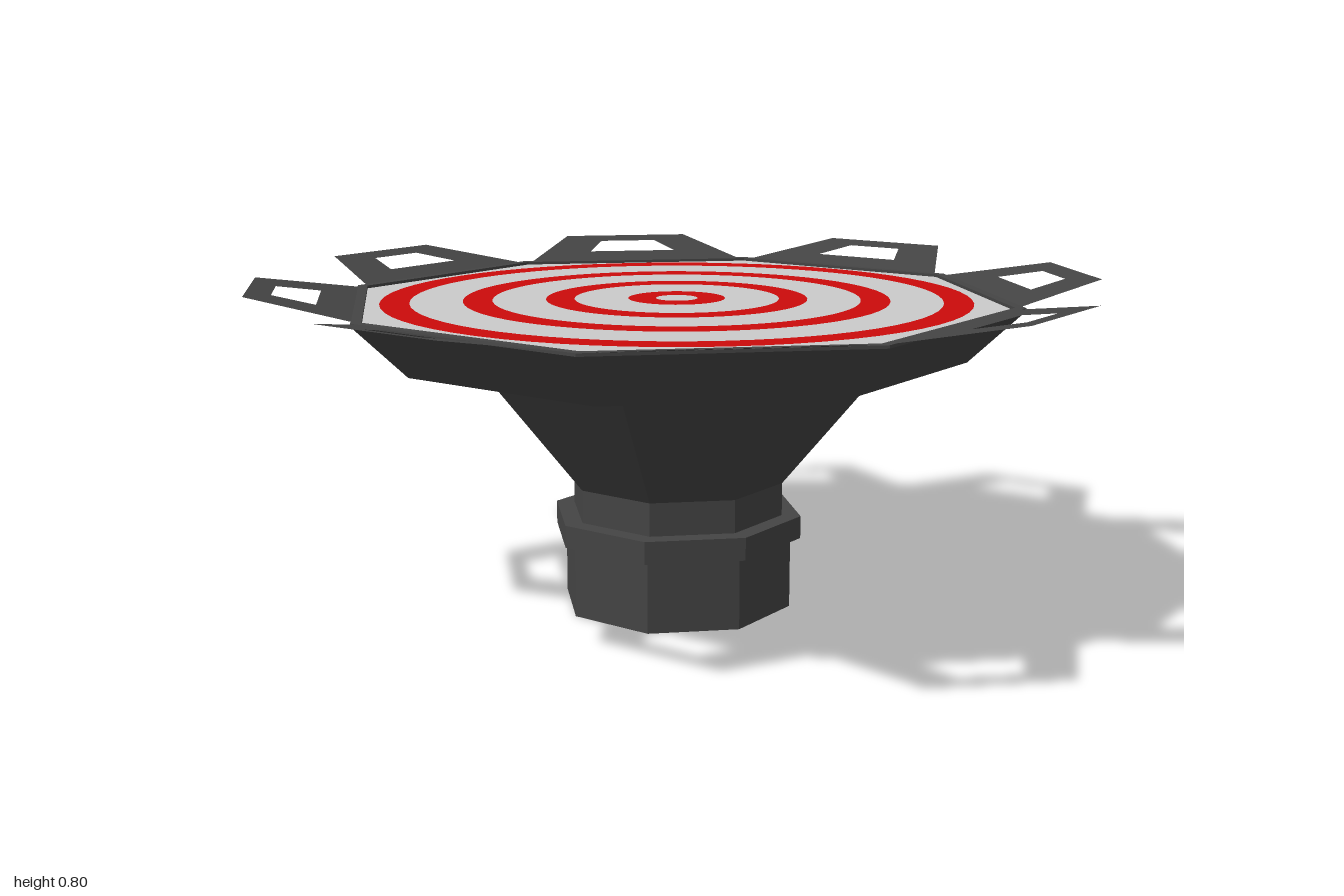
import * as THREE from 'three';

const darkMetal = new THREE.MeshStandardMaterial({ color: 0x444444, side: THREE.DoubleSide });
darkMetal.name = 'dark metal';
const paleFace = new THREE.MeshStandardMaterial({ color: 0xcbcbcb });
paleFace.name = 'pale face';
const redPaint = new THREE.MeshStandardMaterial({ color: 0xcc0a0a });
redPaint.name = 'red paint';

// Flat-to-corner ratio of an octagon
const CORNER = 1 / Math.cos(Math.PI / 8);

function addMesh(parent, name, geometry, material) {
  const mesh = new THREE.Mesh(geometry, material);
  mesh.name = name;
  parent.add(mesh);
  return mesh;
}

// Faceted eight-sided solid from [flat distance, height] pairs, bottom to top
function octagonSolid(profile) {
  const points = profile.map(([r, y]) => new THREE.Vector2(r * CORNER, y));
  const geometry = new THREE.LatheGeometry(points, 8, Math.PI / 8).toNonIndexed();
  geometry.computeVertexNormals();
  return geometry;
}

// Trapezoid flap with a trapezoid window, hinged at the origin and rising outward
function flapGeometry() {
  const run = 0.25, rise = 0.045;
  const slope = Math.atan2(rise, run);
  const k = 1 / Math.cos(slope);
  const trapezoid = (w0, d0, w1, d1) => [
    new THREE.Vector2(-w0, d0 * k), new THREE.Vector2(w0, d0 * k),
    new THREE.Vector2(w1, d1 * k), new THREE.Vector2(-w1, d1 * k),
  ];
  const shape = new THREE.Shape(trapezoid(0.295, 0, 0.172, run));
  shape.holes.push(new THREE.Path(trapezoid(0.12, 0.093, 0.077, 0.195)));
  return new THREE.ShapeGeometry(shape).rotateX(Math.PI / 2 - slope);
}

export function createModel() {
  const model = new THREE.Group();
  model.name = 'targetDish';

  // Pedestal
  addMesh(model, 'base', octagonSolid([[0, 0], [0.263, 0], [0.263, 0.175], [0, 0.175]]), darkMetal);
  addMesh(model, 'collar', octagonSolid([[0, 0.175], [0.286, 0.175], [0.286, 0.23], [0, 0.23]]), darkMetal);
  addMesh(model, 'neck', octagonSolid([[0.243, 0.23], [0.243, 0.31]]), darkMetal);

  // Flared body and dish with a thin lip
  addMesh(model, 'funnel', octagonSolid([[0.243, 0.31], [0.48, 0.625]]), darkMetal);
  addMesh(model, 'dish', octagonSolid([
    [0.48, 0.625], [0.642, 0.625], [0.762, 0.75], [0.762, 0.757], [0.738, 0.757], [0.738, 0.74],
  ]), darkMetal);

  // Target face and painted rings
  const face = new THREE.CircleGeometry(0.739 * CORNER, 8, Math.PI / 8).rotateX(-Math.PI / 2);
  addMesh(model, 'targetFace', face, paleFace).position.y = 0.75;
  [[0.05, 0.116], [0.245, 0.313], [0.44, 0.51], [0.635, 0.705]].forEach(([inner, outer], i) => {
    const ring = new THREE.RingGeometry(inner, outer, 64).rotateX(-Math.PI / 2);
    addMesh(model, `targetRing${i + 1}`, ring, redPaint).position.y = 0.753;
  });

  // Eight flaps around the rim
  const flap = flapGeometry();
  for (let i = 0; i < 8; i++) {
    const hinge = new THREE.Group();
    hinge.name = `flap${i + 1}`;
    hinge.rotation.y = (i * Math.PI) / 4;
    addMesh(hinge, 'flapPlate', flap, darkMetal).position.set(0, 0.755, 0.75);
    model.add(hinge);
  }
  return model;
}
